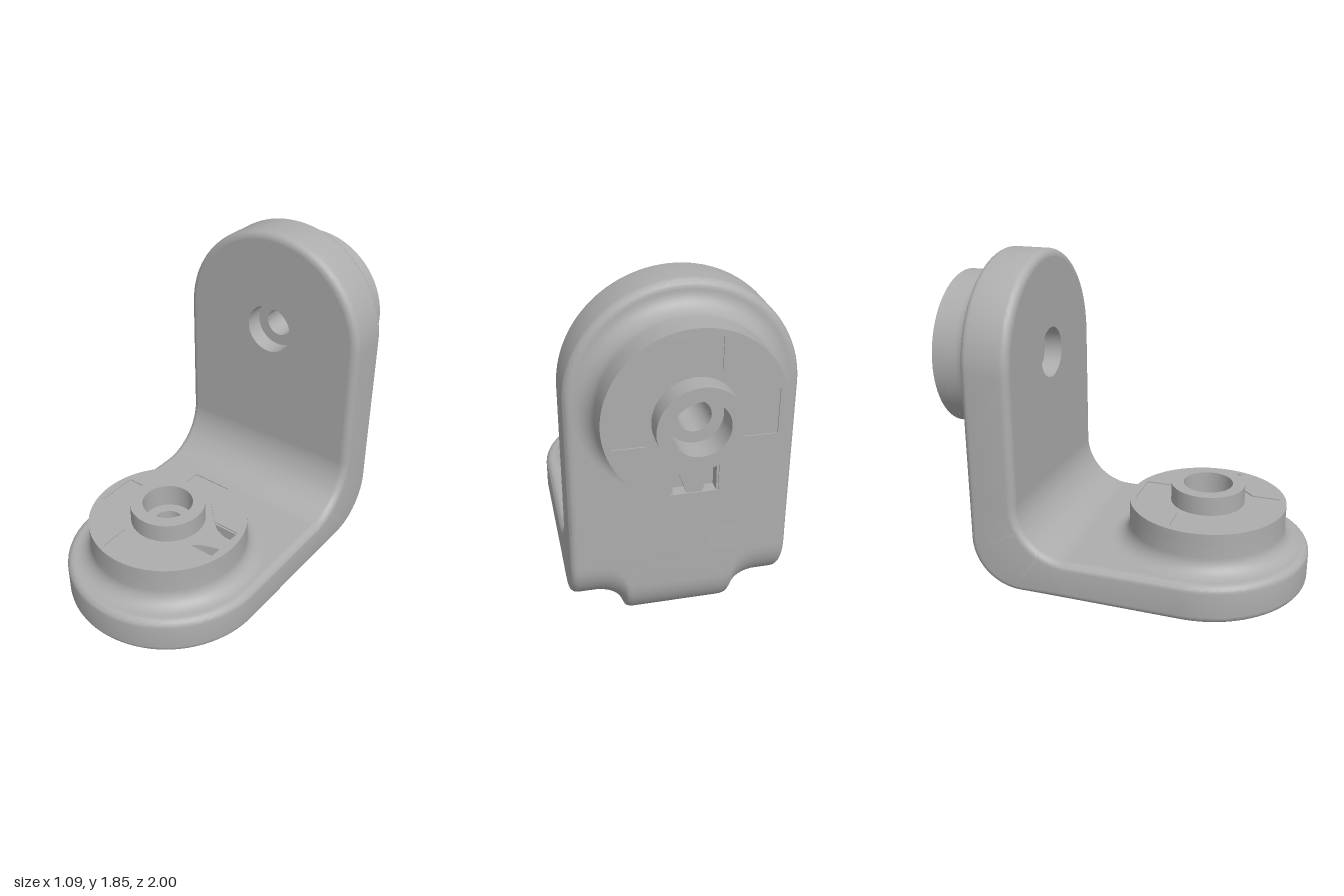
import * as THREE from 'three';
import { toCreasedNormals } from 'three/addons/utils/BufferGeometryUtils.js';

const HALF = 0.545;        // half width of both arms
const EDGE = 0.04;         // edge rounding
const BACK = -0.685;       // rear plane
const CZ = 0.455;          // lower hub centre along z
const CY = 1.3;            // upper hub centre along y
const BORE = 0.135, PIN = 0.075;
const OUT = 0.265;         // radius of the outer bend
const BEND = BACK + OUT;   // where the outer bend begins
const INNER = { z: -0.16, y: 0.62, r: 0.265 };
const metal = new THREE.MeshStandardMaterial({ color: 0xadadad });
metal.name = 'grey metal';

const V2 = (x, y) => new THREE.Vector2(x, y);

function mesh(name, geometry, parent) {
  const m = new THREE.Mesh(toCreasedNormals(geometry, 0.6), metal);
  m.name = name;
  parent.add(m);
  return m;
}

// Surface through successive rows of [x, y, z] points
function skin(rows, closed = false) {
  const n = rows[0].length, index = [];
  for (let i = 0; i < rows.length - 1; i++) {
    for (let j = 0; j < (closed ? n : n - 1); j++) {
      const k = (j + 1) % n;
      const a = i * n + j, b = a + n, c = i * n + k, d = c + n;
      index.push(a, b, c, b, d, c);
    }
  }
  const g = new THREE.BufferGeometry();
  g.setAttribute('position', new THREE.Float32BufferAttribute(rows.flat(2), 3));
  g.setIndex(index);
  return g;
}

// Outline with a half-round end at the origin and a straight end at -length
function stadium(r, length) {
  const pts = [];
  for (let i = 0; i <= 64; i++) {
    const a = Math.PI * i / 64;
    pts.push(V2(r * Math.cos(a), r * Math.sin(a)));
  }
  pts.push(V2(-r, -length), V2(r, -length));
  return pts;
}

function circle(r) {
  return new THREE.Path().absarc(0, 0, r, 0, Math.PI * 2, true);
}

// Flat face of an arm, pierced by the bore; rotated to face up or down
function face(r, length, up) {
  const shape = new THREE.Shape(stadium(r, length).map(p => V2(p.x, up ? -p.y : p.y)));
  shape.holes.push(circle(BORE));
  return new THREE.ShapeGeometry(shape, 32).rotateX(up ? -Math.PI / 2 : Math.PI / 2);
}

// Arm plate: outer face at y = 0, thickness downwards
function plate(thick, length, parent) {
  const rows = [];
  const ring = (inset, y) => rows.push(stadium(HALF - inset, length).map(p => [p.x, y, p.y]));
  for (const end of [0, 1]) {
    for (let i = 0; i <= 6; i++) {
      const a = (end ? i : i - 6) / 6 * Math.PI / 2;
      ring(EDGE * (1 - Math.cos(a)), (end ? -EDGE : EDGE - thick) + EDGE * Math.sin(a));
    }
  }
  mesh('armRim', skin(rows, true), parent);
  mesh('armOuterFace', face(HALF - EDGE, length, true), parent);
  mesh('armInnerFace', face(HALF - EDGE, length, false), parent).position.y = -thick;
}

// Round hub with fillet, cross recess, two pits, boss and stepped bore
function hub(depth, step, parent) {
  const g = new THREE.Group();
  g.name = 'hub';
  parent.add(g);
  const R = 0.415, F = 0.09, floor = 0.16, top = 0.22, skim = 0.006;

  const side = [];
  for (let i = 0; i <= 10; i++) {
    const a = i / 10 * Math.PI / 2;
    side.push(V2(R + F * (1 - Math.sin(a)), F * (1 - Math.cos(a))));
  }
  side.push(V2(R, floor), V2(0.1, floor));
  mesh('hubSide', new THREE.LatheGeometry(side, 72), g);

  const disc = (holes, thick) => {
    const s = new THREE.Shape().absarc(0, 0, R, 0, Math.PI * 2, false);
    s.holes.push(...holes);
    return new THREE.ExtrudeGeometry(s, { depth: thick, bevelEnabled: false, curveSegments: 72 })
      .rotateX(-Math.PI / 2);
  };
  const pits = [1, -1].map(s =>
    new THREE.Path([V2(0.23, 0.1 * s), V2(0.37, 0.1 * s), V2(0.37, 0.035 * s), V2(0.27, 0.07 * s)]));
  mesh('hubCap', disc([circle(0.15), ...pits], top - skim - floor), g).position.y = floor;

  // cross outline with chamfered inner corners
  const cross = [];
  for (let q = 0; q < 4; q++) {
    for (const [x, y] of [[0.37, -0.11], [0.37, 0.11], [0.22, 0.11], [0.11, 0.22]]) {
      cross.push(V2(x, y).rotateAround(V2(0, 0), q * Math.PI / 2));
    }
  }
  mesh('crossRecess', disc([new THREE.Path(cross)], skim), g).position.y = top - skim;

  const boss = [[0.195, top - skim], [0.195, 0.315], [0.13, 0.315], [0.13, 0.19], [PIN, 0.19],
    [PIN, -step], [BORE, -step], [BORE, -depth]].map(p => V2(...p));
  mesh('bossAndBore', new THREE.LatheGeometry(boss, 64), g);
  return g;
}

// Bend joining the two arms: rounded rectangle lofted between inner and outer curves
function elbow(parent) {
  const rows = [];
  const outer = t => {
    if (t < 0.25) return V2(THREE.MathUtils.lerp(INNER.z, BEND, t * 4), 0.14);
    if (t > 0.75) return V2(BACK, THREE.MathUtils.lerp(0.14 + OUT, INNER.y, t * 4 - 3));
    const a = (t - 0.25) * Math.PI;
    return V2(BEND - OUT * Math.sin(a), 0.14 + OUT - OUT * Math.cos(a));
  };
  for (let i = 0; i <= 32; i++) {
    const t = i / 32, a = t * Math.PI / 2, o = outer(t);
    const inn = V2(INNER.z - INNER.r * Math.sin(a), INNER.y - (INNER.y - 0.35) * Math.cos(a));
    const thick = o.distanceTo(inn), dir = inn.sub(o).normalize(), row = [];
    for (let c = 0; c < 4; c++) {
      const sx = c === 0 || c === 3 ? 1 : -1, hi = c < 2;
      for (let k = 0; k <= 6; k++) {
        const b = (c + k / 6) * Math.PI / 2;
        const d = (hi ? thick - EDGE : EDGE) + EDGE * Math.sin(b);
        row.push([sx * (HALF - EDGE) + EDGE * Math.cos(b), o.y + dir.y * d, o.x + dir.x * d]);
      }
    }
    rows.push(row);
  }
  mesh('elbow', skin(rows, true), parent);
}

// Flared rib below the lower arm, following the bend up to the rear plane
function rib(parent) {
  const H = 0.14, W = 0.23;
  const profile = new THREE.SplineCurve([[0.41, 0], [0.355, 0.012], [0.31, 0.04], [0.283, 0.075],
    [0.268, 0.11], [0.257, 0.13], [W, H]].map(p => V2(...p))).getPoints(18);
  const bend = d => {
    const pts = [];
    for (let k = 0; k <= 14; k++) {
      const a = k / 14 * Math.PI / 2;
      pts.push([BEND - OUT * Math.sin(a), H + OUT - OUT * Math.cos(a) - d]);
    }
    pts.push([BACK, H + OUT]);
    return pts;
  };
  const rows = profile.map(({ x: w, y: d }) => {
    const tail = bend(d), row = tail.map(([z, y]) => [-w, y, z]).reverse();
    for (let i = 0; i <= 40; i++) {
      const a = Math.PI * (1 - i / 40);
      row.push([w * Math.cos(a), H - d, CZ + w * Math.sin(a)]);
    }
    return row.concat(tail.map(([z, y]) => [w, y, z]));
  });
  mesh('ribFlank', skin(rows), parent);
  mesh('ribBottom', face(W, CZ - BEND, false), parent).position.z = CZ;
  mesh('ribBend', skin([W, -W].map(x => bend(H).map(([z, y]) => [x, y, z]))), parent);
}

export function createModel() {
  const model = new THREE.Group();
  model.name = 'angleBracket';

  const lower = new THREE.Group();
  lower.name = 'lowerArm';
  lower.position.set(0, 0.35, CZ);
  plate(0.21, CZ - INNER.z + 0.05, lower);
  hub(0.35, 0.17, lower);

  const upper = new THREE.Group();
  upper.name = 'upperArm';
  upper.position.set(0, CY, BACK);
  upper.rotation.x = -Math.PI / 2;
  plate(0.26, CY - INNER.y + 0.05, upper);
  hub(0.26, 0.16, upper).rotation.y = Math.PI / 2;

  model.add(lower, upper);
  elbow(model);
  rib(model);
  return model;
}
